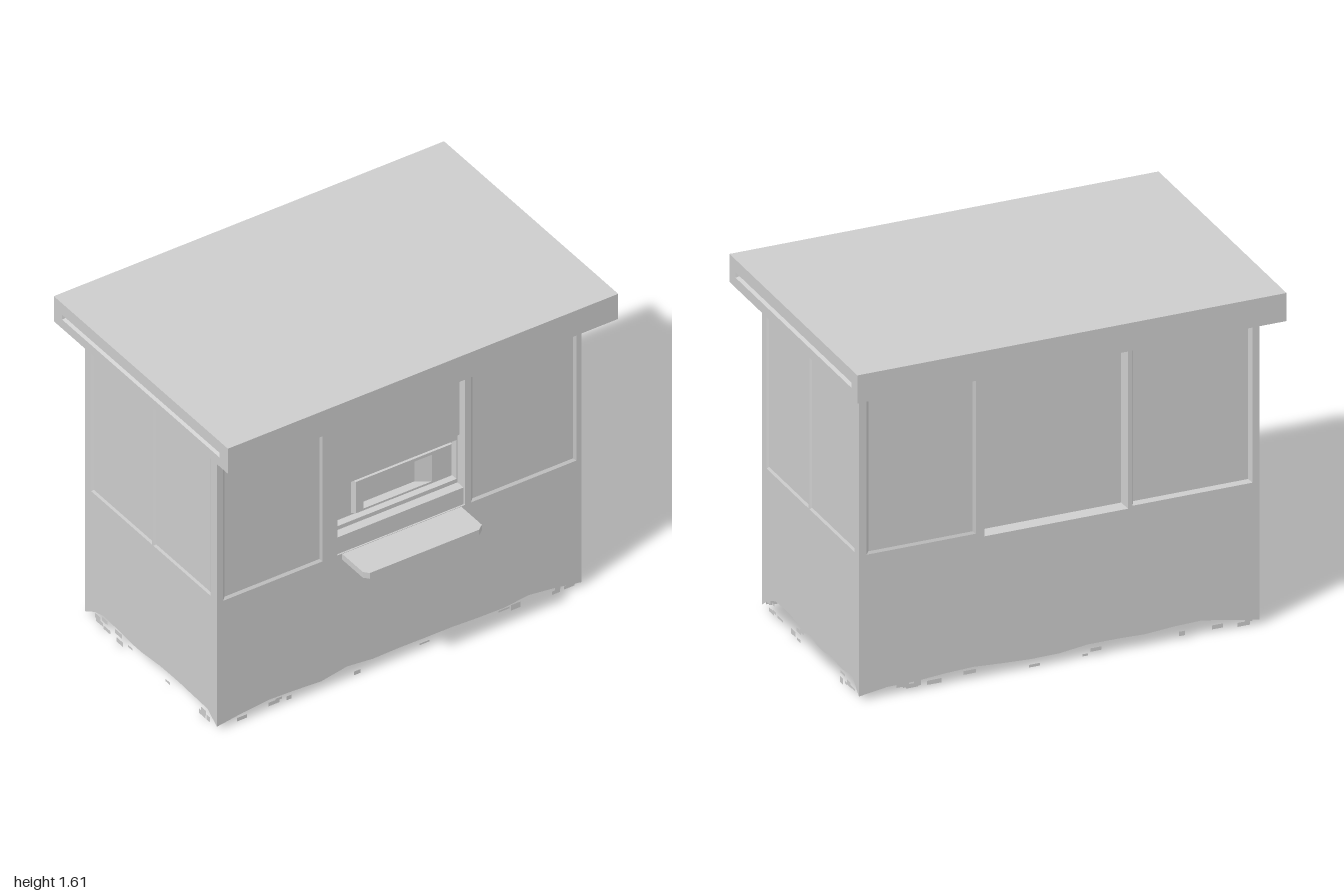
import * as THREE from 'three';

const grey = new THREE.MeshStandardMaterial({ color: 0xcccccc });
grey.name = 'plainGrey';
const greySheet = new THREE.MeshStandardMaterial({ color: 0xcccccc, side: THREE.DoubleSide });
greySheet.name = 'plainGreySheet';

function seeded(seed) {
  return () => (seed = (seed * 16807) % 2147483647) / 2147483647;
}

function addMesh(parent, name, geometry, material = grey) {
  const mesh = new THREE.Mesh(geometry, material);
  mesh.name = name;
  parent.add(mesh);
  return mesh;
}

function addBox(parent, name, x0, x1, y0, y1, z0, z1) {
  addMesh(parent, name, new THREE.BoxGeometry(x1 - x0, y1 - y0, z1 - z0))
    .position.set((x0 + x1) / 2, (y0 + y1) / 2, (z0 + z1) / 2);
}

// Corners of a ring [x0, x1, y0, y1, z], counter-clockwise
const corners = ([x0, x1, y0, y1, z]) => [[x0, y0, z], [x1, y0, z], [x1, y1, z], [x0, y1, z]];

// Nested rectangles joined by sloping strips, the last one capped
function steppedPanel(rings) {
  const pos = [];
  const quad = (a, b, c, d) => pos.push(...a, ...b, ...c, ...a, ...c, ...d);
  for (let r = 0; r + 1 < rings.length; r++) {
    const a = corners(rings[r]), b = corners(rings[r + 1]);
    for (let i = 0; i < 4; i++) {
      const j = (i + 1) % 4;
      quad(a[i], a[j], b[j], b[i]);
    }
  }
  quad(...corners(rings[rings.length - 1]));
  const g = new THREE.BufferGeometry();
  g.setAttribute('position', new THREE.Float32BufferAttribute(pos, 3));
  g.computeVertexNormals();
  return g;
}

// A sunk panel with a bevelled rim
const sunk = (x0, x1, y0, y1, depth, bevel = 0.012) =>
  [[x0, x1, y0, y1, 0], [x0 + bevel, x1 - bevel, y0 + bevel, y1 - bevel, -depth]];

// Flat sheet facing local +z with stepped panels let into it
function sheet(name, outline, panels) {
  const group = new THREE.Group();
  group.name = name;
  const shape = new THREE.Shape(outline.map(([x, y]) => new THREE.Vector2(x, y)));
  for (const rings of panels) {
    shape.holes.push(new THREE.Path(corners(rings[0]).map(([x, y]) => new THREE.Vector2(x, y))));
    addMesh(group, name + 'Panel', steppedPanel(rings));
  }
  addMesh(group, name + 'Surface', new THREE.ShapeGeometry(shape));
  return group;
}

// Wall with an uneven lower edge and loose fragments beneath it
function wall(name, x0, x1, base, panels, seed) {
  const rand = seeded(seed), outline = [], steps = 14;
  for (let i = 0; i <= steps; i++) {
    const end = i === 0 || i === steps;
    outline.push([x0 + (x1 - x0) * i / steps, end ? 0.02 : base + 0.03 * rand()]);
  }
  outline.push([x1, 1.48], [x0, 1.48]);
  const group = sheet(name, outline, panels);
  for (let i = 0; i < 14; i++) {
    const w = 0.02 + 0.04 * rand(), h = 0.008 + 0.02 * rand();
    const nearEnd = 0.2 * rand();
    const t = i % 3 === 0 ? rand() : i % 2 ? nearEnd : 1 - nearEnd;
    const bit = addMesh(group, 'baseFragment', new THREE.PlaneGeometry(w, h), greySheet);
    bit.position.set(x0 + w + (x1 - x0 - 2 * w) * t, h / 2 + (i ? (base - 0.01) * rand() : 0), -0.005);
  }
  return group;
}

function place(parent, part, x, z, turn) {
  part.position.set(x, 0, z);
  part.rotation.y = turn;
  parent.add(part);
}

export function createModel() {
  const model = new THREE.Group();
  model.name = 'kiosk';
  const R = 0.925, L = -0.942, F = 0.488, B = -0.516;

  // Front: side panels and a tall recess holding the serving hatch
  place(model, wall('frontWall', L, R, 0.04, [
    sunk(-0.91, -0.40, 0.67, 1.41, 0.008),
    sunk(0.36, 0.90, 0.67, 1.41, 0.008),
    [
      [-0.325, 0.33, 0.67, 1.41, 0],
      [-0.32, 0.325, 0.675, 1.405, -0.05],
      [-0.315, 0.32, 0.78, 0.985, -0.05],
      [-0.31, 0.315, 0.785, 0.98, -0.08],
      [-0.20, 0.31, 0.795, 0.97, -0.08],
      [-0.19, 0.30, 0.80, 0.965, -0.06],
      [-0.15, 0.20, 0.81, 0.95, -0.06],
      [-0.14, 0.13, 0.82, 0.94, -0.09],
    ],
  ], 11), 0, F, 0);
  addBox(model, 'hatchShutter', -0.32, 0.325, 1.02, 1.405, F - 0.052, F - 0.035);
  addBox(model, 'hatchSill', -0.32, 0.325, 0.672, 0.76, F - 0.052, F - 0.005);

  // Back: the middle panel is the deepest
  place(model, wall('backWall', -R, -L, 0.04, [
    sunk(-0.89, -0.38, 0.68, 1.41, 0.005),
    sunk(-0.34, 0.33, 0.66, 1.42, 0.045),
    sunk(0.35, 0.91, 0.67, 1.41, 0.018),
  ], 23), 0, B, Math.PI);

  // Sides: two tall shallow panels each
  place(model, wall('leftWall', -F, -B, 0.07, [
    sunk(-0.44, -0.005, 0.68, 1.46, 0.006),
    sunk(0.005, 0.47, 0.68, 1.46, 0.006),
  ], 37), R, 0, Math.PI / 2);
  place(model, wall('rightWall', B, F, 0.06, [
    sunk(-0.47, -0.005, 0.68, 1.46, 0.006),
    sunk(0.005, 0.44, 0.68, 1.46, 0.006),
  ], 51), L, 0, -Math.PI / 2);

  // Floor with one broken corner
  const floorShape = new THREE.Shape([[L, F], [-0.67, 0.15], [-0.6, B], [R, B], [R, F]]
    .map(([x, z]) => new THREE.Vector2(x, z)));
  const floor = addMesh(model, 'floor', new THREE.ShapeGeometry(floorShape));
  floor.rotation.x = Math.PI / 2;
  floor.position.y = 0.05;

  // Counter shelf with cut front corners
  const shelfShape = new THREE.Shape([[-0.3, -0.48], [-0.3, -0.645], [-0.28, -0.668], [0.28, -0.668],
    [0.31, -0.645], [0.31, -0.48]].map(([x, y]) => new THREE.Vector2(x, y)));
  const shelf = addMesh(model, 'counterShelf',
    new THREE.ExtrudeGeometry(shelfShape, { depth: 0.03, bevelEnabled: false }));
  shelf.rotation.x = -Math.PI / 2;
  shelf.position.y = 0.638;

  // Flat overhanging roof with a long groove in each end
  const roof = new THREE.Group();
  roof.name = 'roof';
  roof.position.z = -0.005;
  model.add(roof);
  const y0 = 1.478, y1 = 1.61, D = 0.663;
  const edge = (w) => [[-w, y0], [w, y0], [w, y1], [-w, y1]];
  place(roof, sheet('roofFront', edge(1), []), 0, D, 0);
  place(roof, sheet('roofBack', edge(1), []), 0, -D, Math.PI);
  for (const s of [1, -1]) {
    place(roof, sheet('roofEnd', edge(D), [sunk(-0.6, 0.6, 1.525, 1.55, 0.015, 0.008)]),
      s, 0, s * Math.PI / 2);
    const cover = addMesh(roof, s > 0 ? 'roofTop' : 'roofUnderside', new THREE.PlaneGeometry(2, 2 * D));
    cover.rotation.x = -s * Math.PI / 2;
    cover.position.y = s > 0 ? y1 : y0;
  }
  return model;
}
